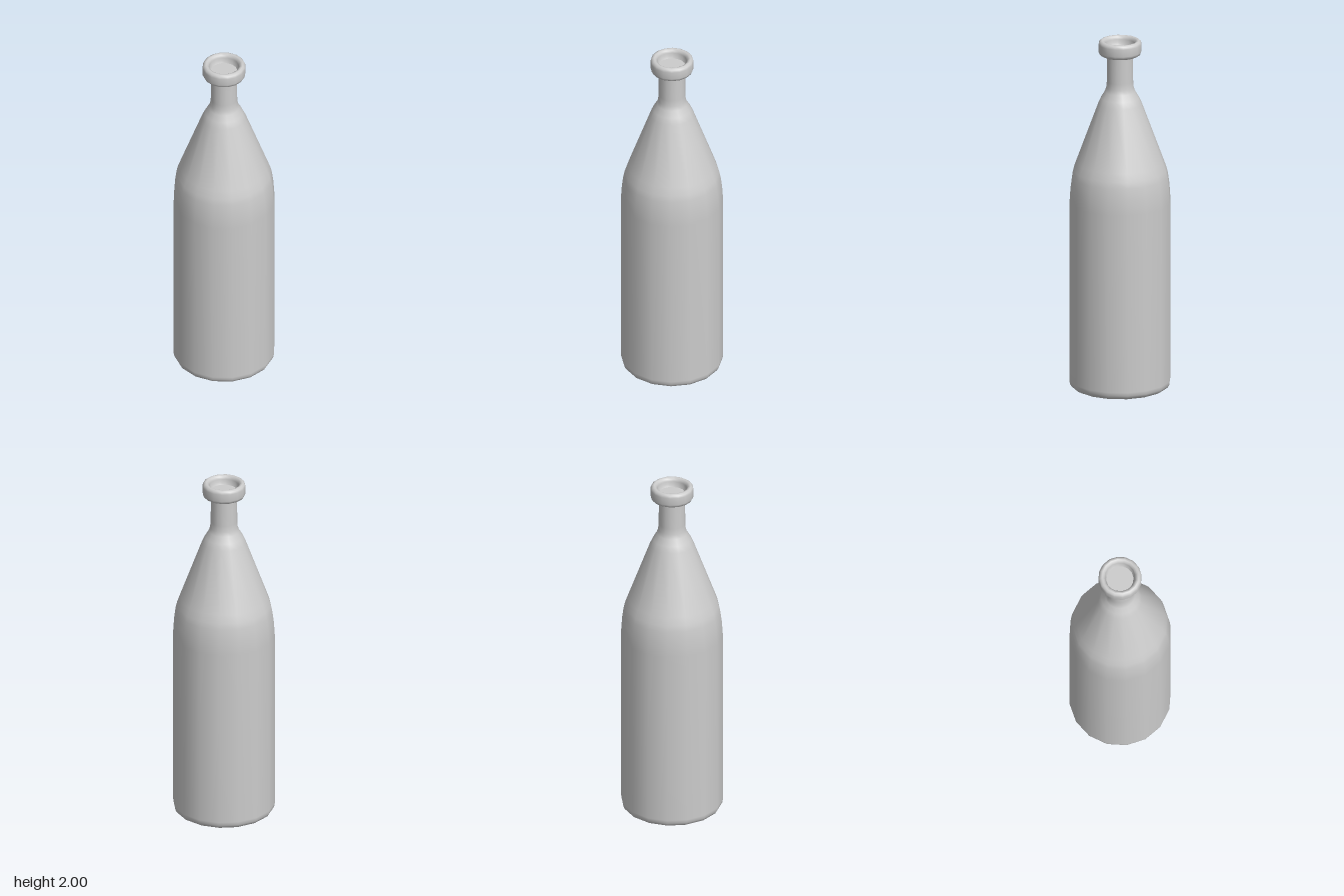
import * as THREE from 'three';

const SIDES = 16;

export function createModel() {
  const group = new THREE.Group();
  const material = new THREE.MeshStandardMaterial({ color: 0xcccccc });

  // Revolve a profile of [radius, height] pairs, listed along the outer surface from bottom to top
  const addLathe = (name, profile) => {
    const points = profile.map(([r, y]) => new THREE.Vector2(r, y));
    const mesh = new THREE.Mesh(new THREE.LatheGeometry(points, SIDES), material);
    mesh.name = name;
    group.add(mesh);
  };

  // Flat underside
  addLathe('base', [[0, 0], [0.255, 0]]);

  // Rounded heel, straight wall, sloping shoulder and narrow neck
  addLathe('body', [
    [0.255, 0], [0.272, 0.01], [0.28, 0.025], [0.283, 0.045],
    [0.283, 1.07], [0.277, 1.16], [0.269, 1.22], [0.261, 1.255], [0.245, 1.3],
    [0.122, 1.635], [0.106, 1.67], [0.085, 1.705], [0.077, 1.73], [0.074, 1.765],
    [0.073, 1.92],
  ]);

  // Rounded lip around the mouth
  addLathe('lip', [
    [0.073, 1.915], [0.1, 1.915], [0.113, 1.922], [0.12, 1.938],
    [0.12, 1.98], [0.116, 1.993], [0.106, 2], [0.097, 2],
    [0.087, 1.993], [0.083, 1.98], [0.082, 1.965], [0.075, 1.95],
  ]);

  // Closed surface just inside the mouth
  addLathe('mouthDisc', [[0.075, 1.95], [0, 1.95]]);

  return group;
}
